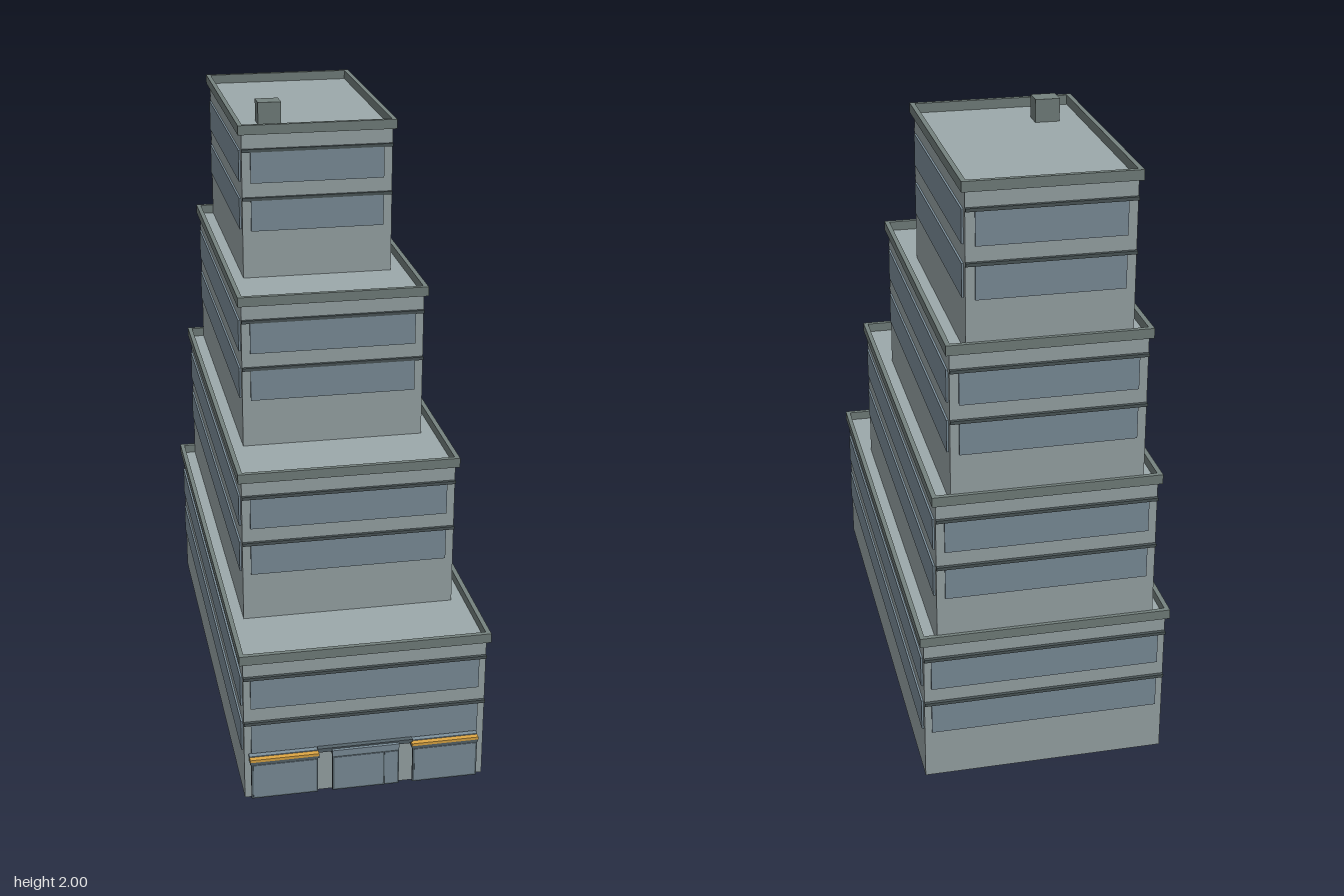
import * as THREE from 'three';

const mat = (color) => new THREE.MeshStandardMaterial({ color });

export function createModel() {
  const building = new THREE.Group();
  building.name = 'steppedBuilding';
  const wall = mat(0x9ca9ab), trim = mat(0x75827f), ledgeDark = mat(0x4c5759);
  const glass = mat(0x7f929e), frame = mat(0x56646b), amber = mat(0xe0a845);

  // Box given by its minimum and maximum corners
  function box(parent, name, material, x0, x1, y0, y1, z0, z1) {
    const mesh = new THREE.Mesh(new THREE.BoxGeometry(x1 - x0, y1 - y0, z1 - z0), material);
    mesh.position.set((x0 + x1) / 2, (y0 + y1) / 2, (z0 + z1) / 2);
    mesh.name = name;
    parent.add(mesh);
    return mesh;
  }

  const back = -0.822, step = 0.481;
  const tiers = [
    { hw: 0.385, front: 0.80, inset: 0.022 },
    { hw: 0.342, front: 0.525, inset: 0.026 },
    { hw: 0.296, front: 0.25, inset: 0.027 },
    { hw: 0.248, front: -0.025, inset: 0.028 },
  ];

  tiers.forEach(({ hw, front, inset }, i) => {
    const tier = new THREE.Group();
    tier.name = 'tier' + (i + 1);
    building.add(tier);
    const base = i * step, roof = base + 0.485, top = base + 0.515;
    box(tier, 'walls', wall, -hw, hw, i ? base + 0.004 : 0, roof, back, front);

    // Parapet rim around the recessed roof
    const out = 0.012, inn = 0.003;
    for (const s of [-1, 1]) {
      const a = s * (hw - inn), b = s * (hw + out);
      box(tier, 'parapetSide', trim, Math.min(a, b), Math.max(a, b), roof - 0.001, top, back - out, front + out);
    }
    box(tier, 'parapetFront', trim, -hw + inn, hw - inn, roof - 0.001, top, front - inn, front + out);
    box(tier, 'parapetBack', trim, -hw + inn, hw - inn, roof - 0.001, top, back - out, back + inn);

    // Two storeys of ribbon windows on all sides, ledges on front and back
    for (const y of [0.163, 0.323]) {
      const y0 = base + y, y1 = y0 + 0.103, d = 0.006;
      box(tier, 'windowFront', glass, -hw + inset, hw - inset, y0, y1, front, front + d);
      box(tier, 'windowBack', glass, -hw + inset, hw - inset, y0, y1, back - d, back);
      box(tier, 'windowLeft', glass, hw, hw + d, y0, y1, back + 0.022, front - inset);
      box(tier, 'windowRight', glass, -hw - d, -hw, y0, y1, back + 0.022, front - inset);
      box(tier, 'ledgeFront', ledgeDark, -hw, hw, y1, y1 + 0.01, front, front + 0.01);
      box(tier, 'ledgeBack', ledgeDark, -hw, hw, y1, y1 + 0.01, back - 0.011, back);
    }
  });

  // Rooftop vent
  box(building, 'rooftopVent', trim, -0.175, -0.098, 1.927, 2, -0.212, -0.148);

  // Street front: framed panes hanging below canopies
  const shop = new THREE.Group();
  shop.name = 'shopFront';
  building.add(shop);
  const bays = [[-0.368, -0.156], [-0.11, 0.104], [0.148, 0.358]];
  bays.forEach(([x0, x1], i) => {
    box(shop, 'paneFrame', frame, x0, x1, 0.015, 0.142, 0.824, 0.832);
    const split = i === 1 ? [x0 + 0.006, 0.052, 0.057, x1 - 0.006] : [x0 + 0.006, x1 - 0.006];
    for (let k = 0; k < split.length; k += 2)
      box(shop, 'pane', glass, split[k], split[k + 1], 0.021, 0.136, 0.823, 0.834);
    if (i === 1) {
      box(shop, 'entranceCanopy', frame, -0.155, 0.15, 0.152, 0.165, 0.8, 0.822);
      box(shop, 'entranceLintel', glass, x0, x1, 0.14, 0.16, 0.8, 0.832);
    } else {
      box(shop, 'canopy', frame, x0 - 0.003, x1 + 0.003, 0.14, 0.148, 0.8, 0.834);
      box(shop, 'canopyStripe', amber, x0 - 0.003, x1 + 0.003, 0.148, 0.157, 0.818, 0.835);
      box(shop, 'canopyTop', glass, x0 - 0.003, x1 + 0.003, 0.148, 0.16, 0.8, 0.818);
    }
  });

  return building;
}
